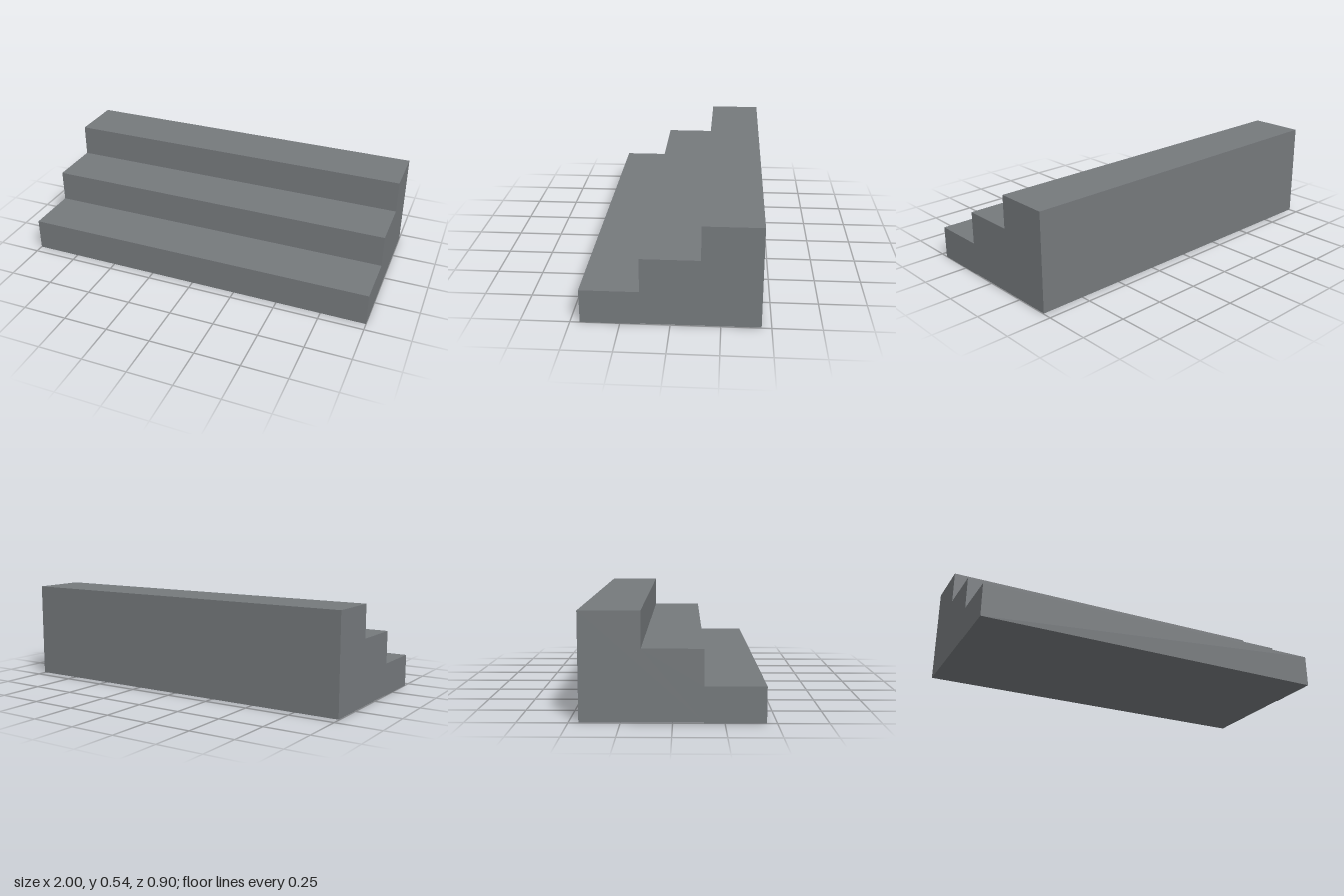
import * as THREE from 'three';

export function createModel() {
  const group = new THREE.Group();
  group.name = 'stairs';
  const stone = new THREE.MeshStandardMaterial({ color: 0x75797c });
  stone.name = 'greyStone';

  const steps = 3, width = 2, tread = 0.3, riser = 0.18;
  const front = (steps * tread) / 2;
  const baseLift = 0.003; // slight recess under the upper steps

  // Side profile drawn as (z, y): underside, back, then down the steps
  const profile = new THREE.Shape();
  profile.moveTo(front, 0);
  profile.lineTo(front - tread, 0);
  profile.lineTo(front - tread, baseLift);
  profile.lineTo(-front, baseLift);
  for (let i = steps; i > 0; i--) {
    profile.lineTo(front - i * tread, i * riser);
    profile.lineTo(front - (i - 1) * tread, i * riser);
  }
  profile.closePath();

  // Sweep the profile across the width, centred on x
  const geometry = new THREE.ExtrudeGeometry(profile, { depth: width, bevelEnabled: false });
  geometry.rotateY(-Math.PI / 2).translate(width / 2, 0, 0);

  const flight = new THREE.Mesh(geometry, stone);
  flight.name = 'stepFlight';
  group.add(flight);
  return group;
}
